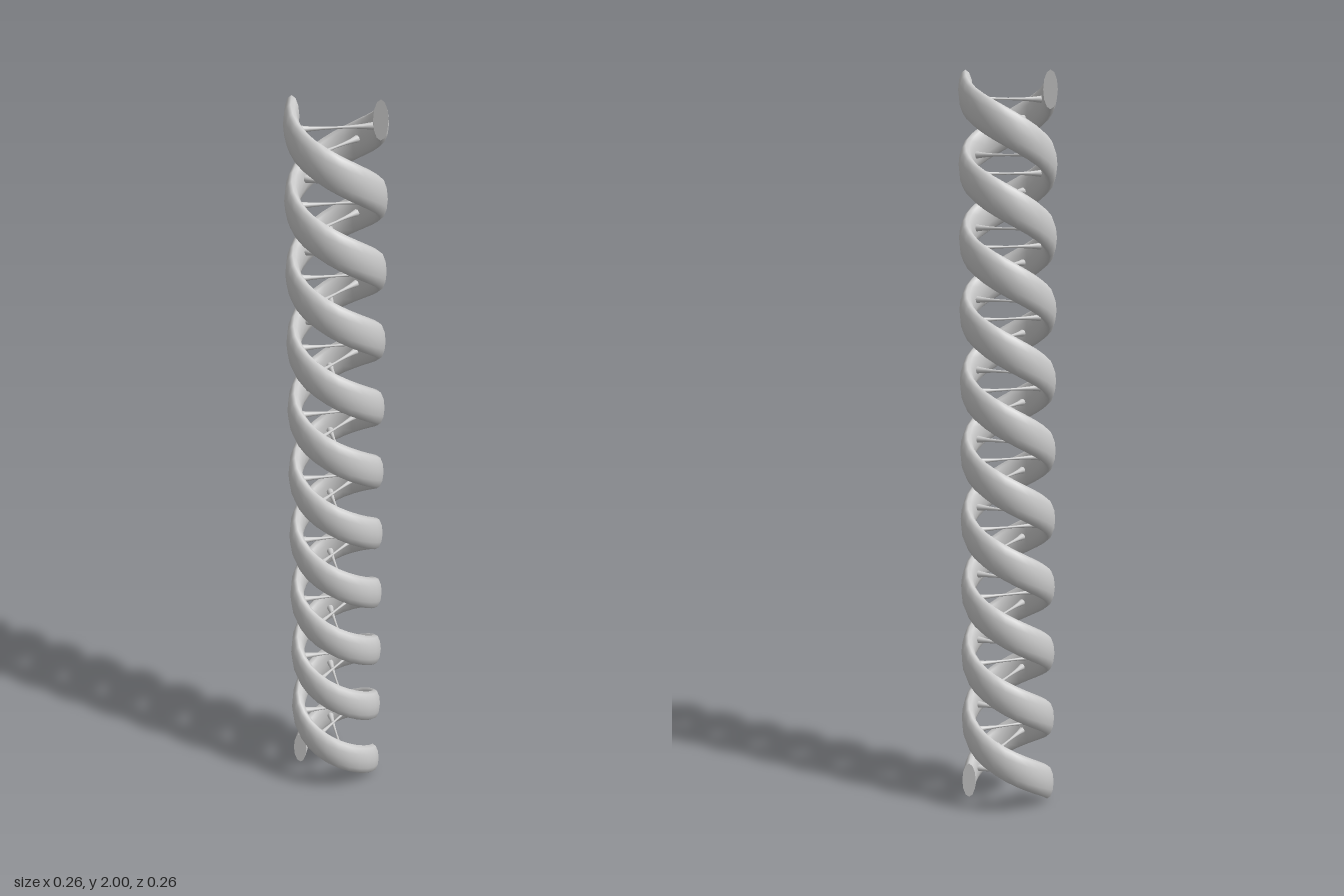
import * as THREE from 'three';
import { ParametricGeometry } from 'three/addons/geometries/ParametricGeometry.js';

const RADIUS = 0.11;        // helix centre line
const HALF_WIDTH = 0.019;   // radial half size of the strand section
const HALF_HEIGHT = 0.05;   // vertical half size of the strand section
const TURNS = 5;
const RUNGS = 40;
const START = THREE.MathUtils.degToRad(58);
const Y0 = HALF_HEIGHT, Y1 = 2 - HALF_HEIGHT;

const angleAt = t => START + t * TURNS * Math.PI * 2;
const heightAt = t => Y0 + t * (Y1 - Y0);

export function createModel() {
  const model = new THREE.Group();
  model.name = 'doubleHelix';
  const material = new THREE.MeshStandardMaterial({ color: 0xcccccc });

  // Strand: an upright elliptical section swept up the helix
  const strandGeometry = new ParametricGeometry((u, v, target) => {
    const a = angleAt(u), s = v * Math.PI * 2;
    const r = RADIUS + HALF_WIDTH * Math.cos(s);
    target.set(r * Math.cos(a), heightAt(u) - HALF_HEIGHT * Math.sin(s), r * Math.sin(a));
  }, 24 * TURNS, 12);
  const capGeometry = new THREE.CircleGeometry(1, 12).scale(HALF_WIDTH, HALF_HEIGHT, 1);

  for (const side of [0, 1]) {
    const strand = new THREE.Group();
    strand.name = side ? 'secondStrand' : 'firstStrand';
    strand.rotation.y = side * Math.PI;
    const tube = new THREE.Mesh(strandGeometry, material);
    tube.name = 'strandTube';
    strand.add(tube);

    // Flat upright ends
    for (const t of [0, 1]) {
      const a = angleAt(t);
      const cap = new THREE.Mesh(capGeometry, material);
      cap.name = t ? 'topEnd' : 'bottomEnd';
      cap.position.set(RADIUS * Math.cos(a), heightAt(t), RADIUS * Math.sin(a));
      cap.rotation.y = -a + (t ? 0 : Math.PI);
      strand.add(cap);
    }
    model.add(strand);
  }

  // Rungs: slim in the middle, flaring towards both strands
  const half = [[0.003, 0], [0.004, 0.035], [0.006, 0.065], [0.009, 0.088], [0.012, 0.105]];
  const profile = [
    ...half.slice(1).reverse().map(([r, d]) => new THREE.Vector2(r, -d)),
    ...half.map(([r, d]) => new THREE.Vector2(r, d)),
  ];
  const rungGeometry = new THREE.LatheGeometry(profile, 10).rotateZ(-Math.PI / 2);
  for (let i = 0; i < RUNGS; i++) {
    const t = (i + 0.5) / RUNGS;
    const rung = new THREE.Mesh(rungGeometry, material);
    rung.name = 'rung';
    rung.position.y = heightAt(t);
    rung.rotation.y = -angleAt(t);
    model.add(rung);
  }
  return model;
}
